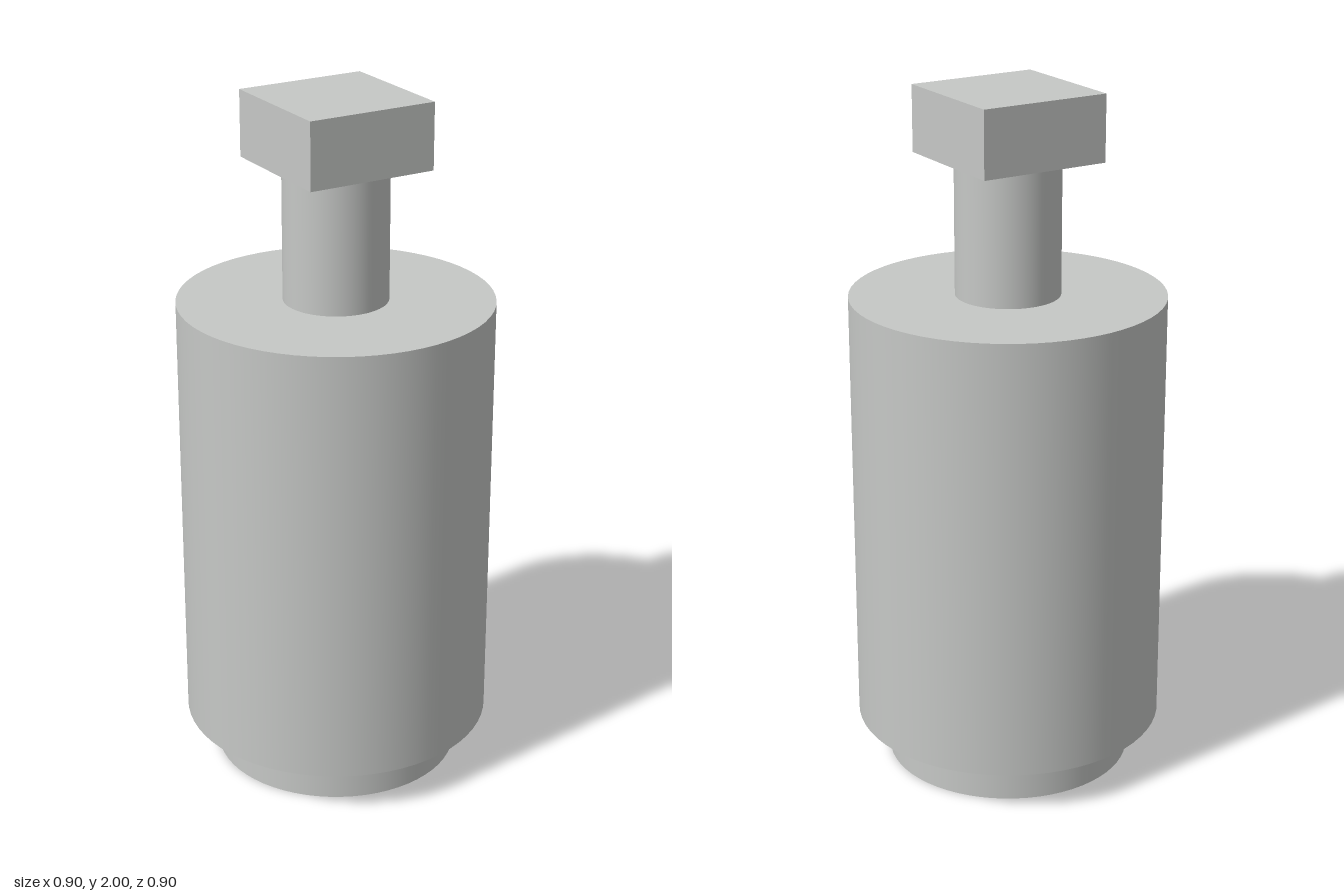
import * as THREE from 'three';

export function createModel() {
  const group = new THREE.Group();
  const grey = new THREE.MeshStandardMaterial({ color: 0xc6c8c6 });
  grey.name = 'light grey';

  const add = (name, geometry, y0, y1) => {
    const mesh = new THREE.Mesh(geometry, grey);
    mesh.name = name;
    mesh.position.y = (y0 + y1) / 2;
    group.add(mesh);
  };

  // Stacked round parts: name, radius, bottom, top
  const rounds = [
    ['base', 0.358, 0, 0.13],
    ['body', 0.45, 0.13, 1.42],
    ['neck', 0.15, 1.42, 1.81],
  ];
  for (const [name, r, y0, y1] of rounds) {
    add(name, new THREE.CylinderGeometry(r, r, y1 - y0, 64), y0, y1);
  }

  // Square cap on the neck
  add('cap', new THREE.BoxGeometry(0.385, 0.19, 0.385), 1.81, 2);

  return group;
}
